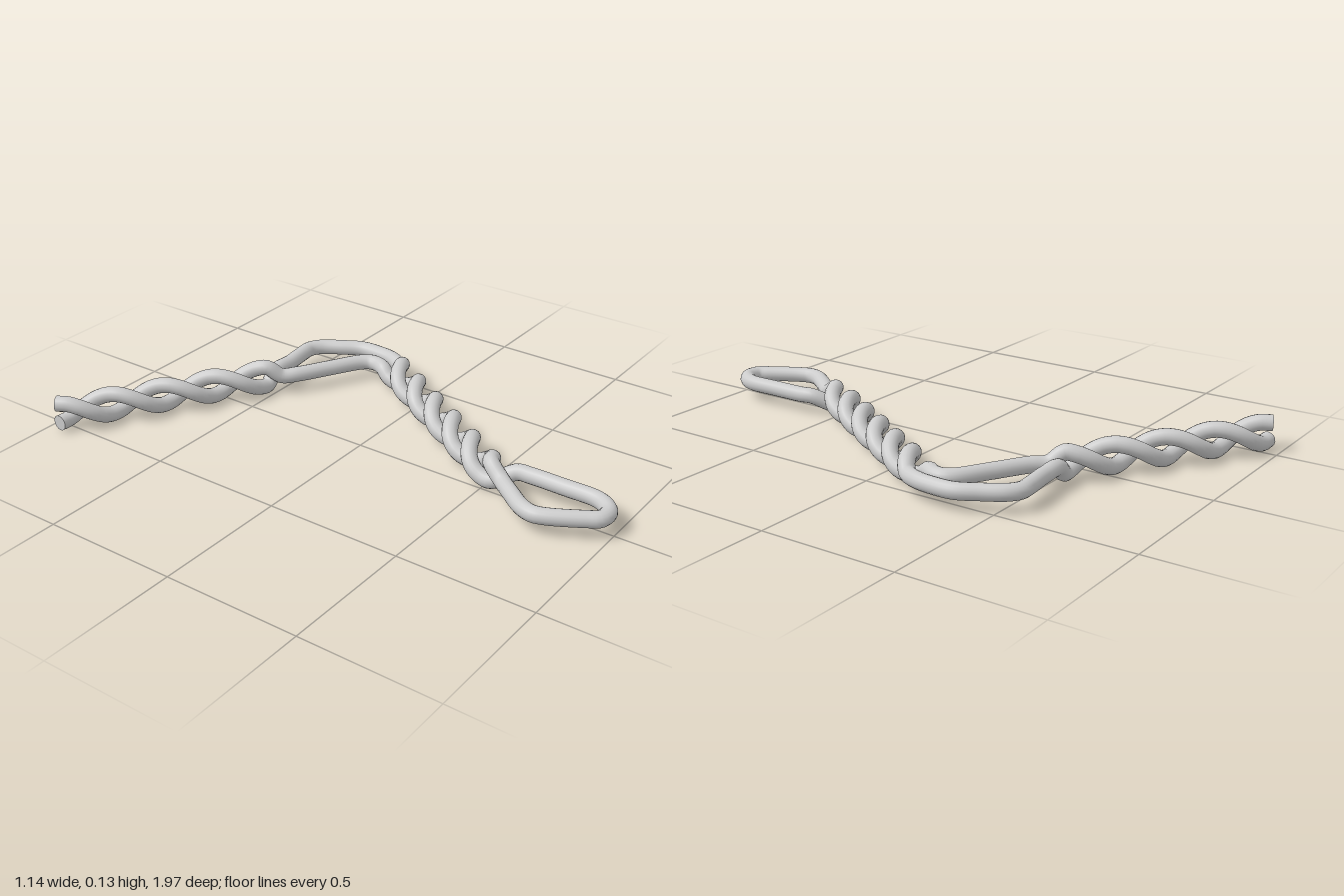
import * as THREE from 'three';

const WIRE = 0.029;   // wire radius
const COIL = 0.036;   // distance of each strand from the twist axis
const Y = 0.068;      // height of the wire's centre line

const flat = (list) => list.map(([x, z]) => new THREE.Vector3(x, Y, z));

// One strand of a right-handed twist between two points on the ground plan
function strand([x0, z0], [x1, z1], turns, phase) {
  const a = new THREE.Vector3(x0, Y, z0), b = new THREE.Vector3(x1, Y, z1);
  const up = new THREE.Vector3(0, 1, 0);
  const side = b.clone().sub(a).normalize().cross(up);
  const n = Math.round(turns * 10), points = [];
  for (let i = 0; i <= n; i++) {
    const angle = phase + (i / n) * turns * Math.PI * 2;
    points.push(a.clone().lerp(b, i / n)
      .addScaledVector(up, COIL * Math.cos(angle))
      .addScaledVector(side, COIL * Math.sin(angle)));
  }
  return points;
}

export function createModel() {
  const group = new THREE.Group();
  group.name = 'twistedWire';
  const material = new THREE.MeshStandardMaterial({ color: 0xcccccc });

  // Two twisted stretches, each with a pair of opposite strands
  const shank = (phase) => strand([0.02, 0.525], [0.47, -0.19], 2.75, phase);
  const tail = (phase) => strand([0.13, -0.53], [-0.545, -0.953], 2.05, phase);

  // Closed eye at the front, from the right leg round to the left leg
  const eye = flat([
    [0.068, 0.6], [0.075, 0.65], [0.075, 0.78], [0.074, 0.89], [0.06, 0.928], [0.028, 0.962],
    [0, 0.968], [-0.03, 0.96], [-0.055, 0.925], [-0.118, 0.81], [-0.128, 0.77], [-0.115, 0.725],
    [-0.06, 0.65], [-0.012, 0.59],
  ]);

  // Open elbow where the strands part at the bend
  const innerElbow = flat([[0.458, -0.245], [0.46, -0.28], [0.44, -0.31], [0.33, -0.378], [0.21, -0.45], [0.165, -0.49]]);
  const outerElbow = flat([[0.532, -0.235], [0.54, -0.29], [0.538, -0.375], [0.5, -0.45], [0.455, -0.52],
    [0.415, -0.546], [0.37, -0.545], [0.27, -0.535], [0.18, -0.535]]);

  // A single wire runs from one tail end, round the eye, to the other tail end
  const inner = [...shank(0), ...innerElbow, ...tail(0)];
  const outer = [...shank(Math.PI), ...outerElbow, ...tail(Math.PI)];
  const path = new THREE.CatmullRomCurve3([...outer.reverse(), ...eye, ...inner], false, 'centripetal');
  path.arcLengthDivisions = 1500;
  const wire = new THREE.Mesh(new THREE.TubeGeometry(path, 500, WIRE, 16, false), material);
  wire.name = 'wire';
  group.add(wire);

  // Flat cut ends
  for (const [name, t, sign] of [['outerCutEnd', 0, -1], ['innerCutEnd', 1, 1]]) {
    const cap = new THREE.Mesh(new THREE.CircleGeometry(WIRE, 16), material);
    cap.name = name;
    cap.position.copy(path.getPointAt(t));
    cap.quaternion.setFromUnitVectors(new THREE.Vector3(0, 0, 1), path.getTangentAt(t).multiplyScalar(sign));
    group.add(cap);
  }
  return group;
}
